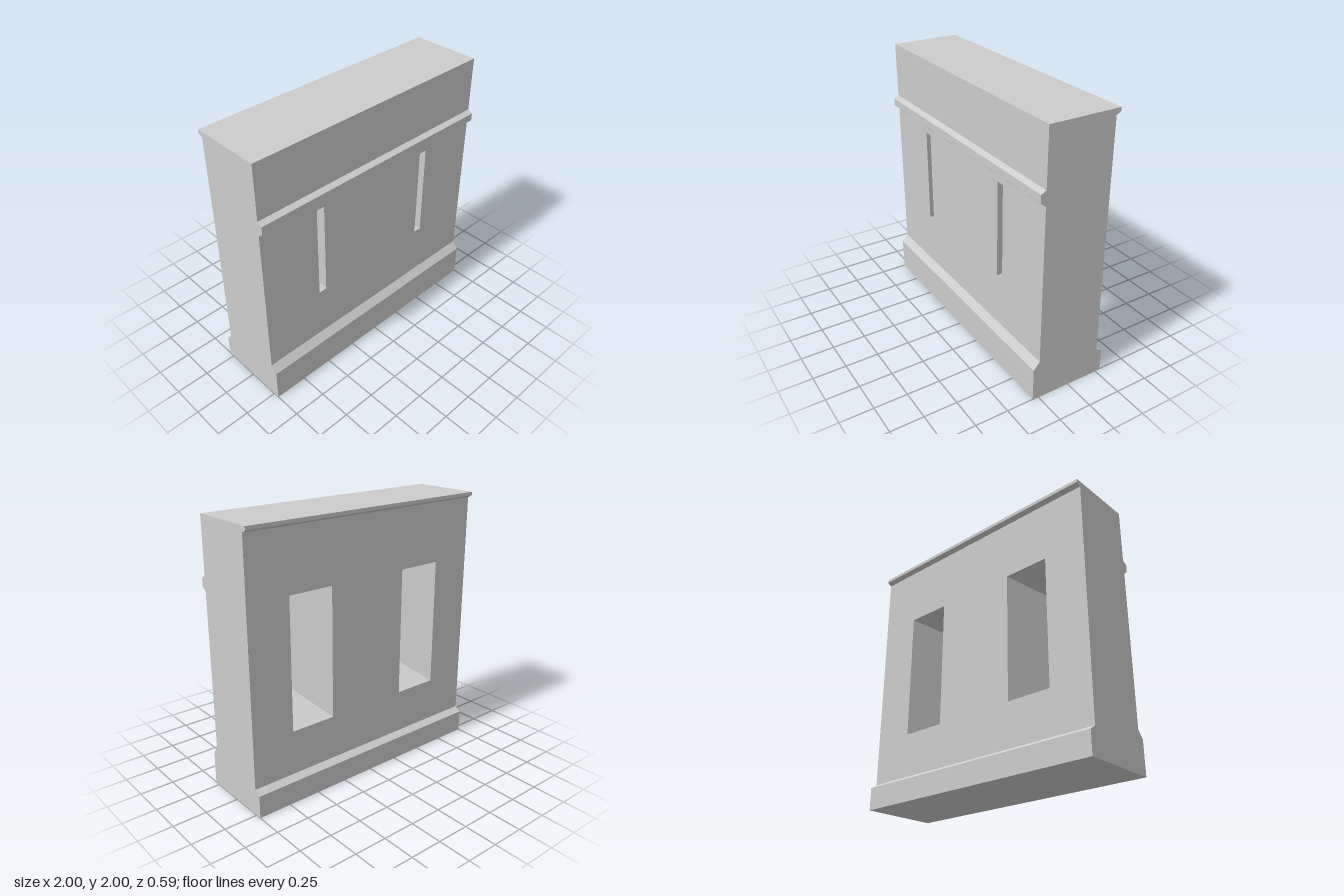
import * as THREE from 'three';

const HALF = 1;       // half the wall length
const FACE = 0.248;   // wall face distance from the centre plane

// Outline pieces as [z, y], running up the front, over the top and down the back
const runs = {
  frontPlinth: [[0.295, 0], [0.295, 0.25], [FACE, 0.305]],
  stringCourse: [[FACE, 1.476], [0.286, 1.51], [0.286, 1.568], [FACE, 1.588]],
  upperFront: [[FACE, 1.588], [FACE, 2]],
  wallTop: [[FACE, 2], [-0.282, 2]],
  backCornice: [[-0.282, 2], [-0.282, 1.975], [-FACE, 1.955]],
  backPlinth: [[-FACE, 0.2], [-0.295, 0.168], [-0.295, 0]],
  underside: [[-0.295, 0], [0.295, 0]],
};

// Loophole openings: half width, bottom and top on each face
const slitCentres = [-0.5, 0.5];
const outer = { hw: 0.032, y0: 0.702, y1: 1.428 };
const inner = { hw: 0.175, y0: 0.53, y1: 1.505 };

// Flat-shaded geometry from a list of quads, corners anticlockwise
function quadGeometry(quads) {
  const pos = [];
  for (const [a, b, c, d] of quads) pos.push(...a, ...b, ...c, ...a, ...c, ...d);
  const g = new THREE.BufferGeometry();
  g.setAttribute('position', new THREE.Float32BufferAttribute(pos, 3));
  g.computeVertexNormals();
  return g;
}

function sweepRun(points) {
  const quads = [];
  for (let i = 0; i < points.length - 1; i++) {
    const [z0, y0] = points[i];
    const [z1, y1] = points[i + 1];
    quads.push([[-HALF, y0, z0], [HALF, y0, z0], [HALF, y1, z1], [-HALF, y1, z1]]);
  }
  return quadGeometry(quads);
}

const corners = (cx, o, z) => [
  [cx - o.hw, o.y0, z], [cx + o.hw, o.y0, z], [cx + o.hw, o.y1, z], [cx - o.hw, o.y1, z],
];

const toPoints = (list) => list.map(([x, y]) => new THREE.Vector2(x, y));

// Wall face with both openings cut out
function piercedFace(y0, y1, opening) {
  const shape = new THREE.Shape(toPoints([[-HALF, y0], [HALF, y0], [HALF, y1], [-HALF, y1]]));
  for (const cx of slitCentres) {
    shape.holes.push(new THREE.Path(toPoints(corners(cx, opening, 0).reverse())));
  }
  return new THREE.ShapeGeometry(shape);
}

export function createModel() {
  const group = new THREE.Group();
  const stone = new THREE.MeshStandardMaterial({ color: 0xcccccc });
  stone.name = 'stone grey';
  const add = (name, geometry) => {
    const mesh = new THREE.Mesh(geometry, stone);
    mesh.name = name;
    group.add(mesh);
  };

  // Plinths, mouldings, top and underside
  for (const [name, points] of Object.entries(runs)) add(name, sweepRun(points));

  // Pierced front and back faces
  add('frontFace', piercedFace(0.305, 1.476, outer).translate(0, 0, FACE));
  add('backFace', piercedFace(0.2, 1.955, inner).rotateY(Math.PI).translate(0, 0, -FACE));

  // Splayed sides, sill and head of each loophole
  for (const cx of slitCentres) {
    const f = corners(cx, outer, FACE);
    const b = corners(cx, inner, -FACE);
    const quads = f.map((p, i) => [p, f[(i + 1) % 4], b[(i + 1) % 4], b[i]]);
    add(cx > 0 ? 'leftLoophole' : 'rightLoophole', quadGeometry(quads));
  }

  // End faces follow the full outline
  const outline = Object.values(runs).flatMap((points) => points.slice(0, points === runs.frontPlinth
    || points === runs.backCornice ? points.length : -1));
  outline.splice(outline.length, 0);
  for (const side of [1, -1]) {
    const shape = new THREE.Shape(toPoints(outline.map(([z, y]) => [-side * z, y])));
    const g = new THREE.ShapeGeometry(shape);
    g.rotateY(side * Math.PI / 2).translate(side * HALF, 0, 0);
    add(side > 0 ? 'leftEnd' : 'rightEnd', g);
  }
  return group;
}
